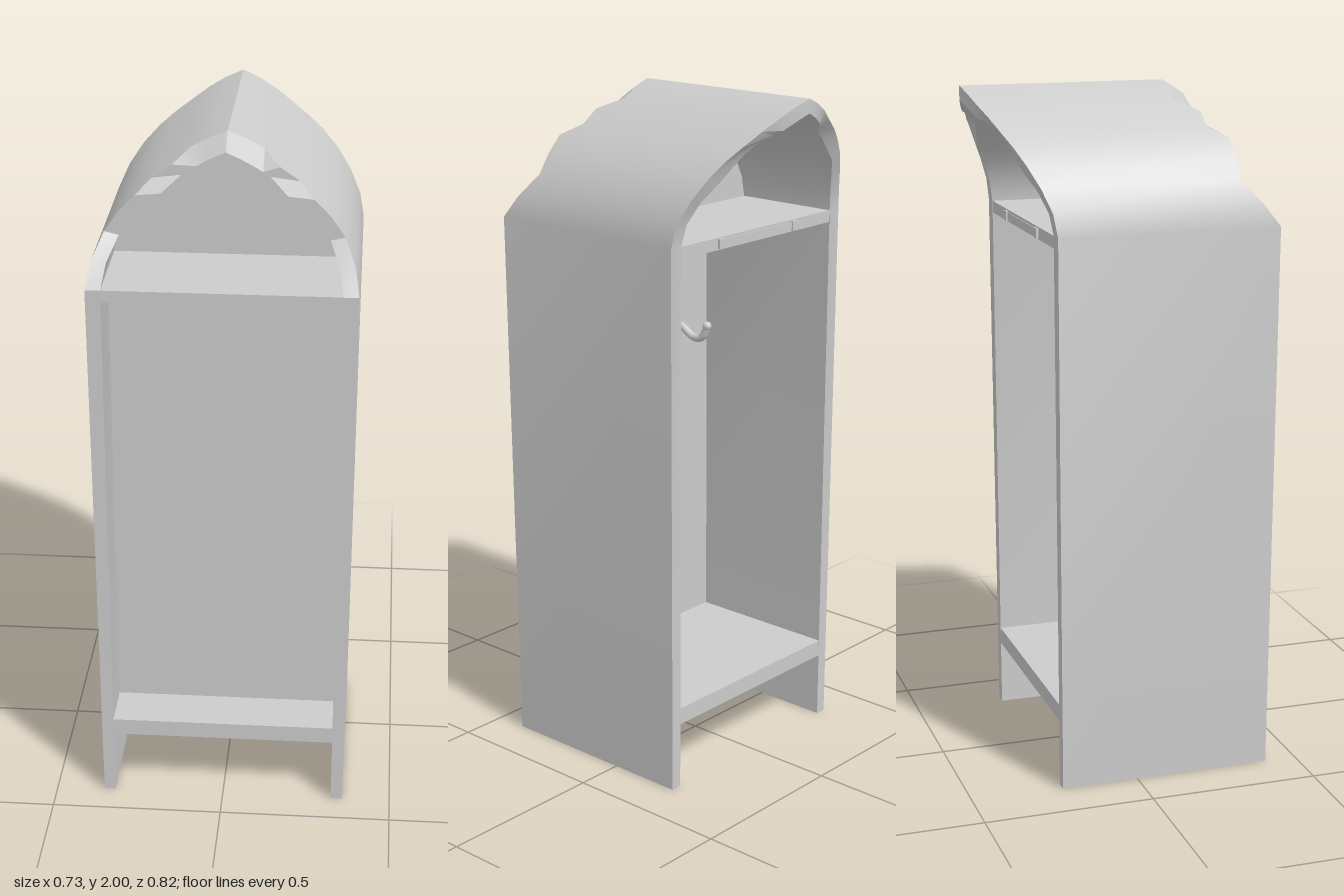
import * as THREE from 'three';
import { toCreasedNormals } from 'three/addons/utils/BufferGeometryUtils.js';

const material = new THREE.MeshStandardMaterial({ color: 0xcccccc });

// Half of the shell, foot to apex: outer x, y, inner x, y, front z outer, front z inner, back z
const HALF = [
  [0.358, 0, 0.325, 0, 0.405, 0.405, -0.228],
  [0.367, 1.62, 0.325, 1.62, 0.412, 0.412, -0.237],
  [0.355, 1.685, 0.314, 1.68, 0.362, 0.362, -0.247],
  [0.325, 1.75, 0.285, 1.74, 0.305, 0.305, -0.272],
  [0.285, 1.807, 0.25, 1.785, 0.305, 0.305, -0.3],
  [0.24, 1.853, 0.17, 1.86, 0.305, 0.305, -0.325],
  [0.2, 1.885, 0.12, 1.895, 0.25, 0.25, -0.345],
  [0.145, 1.923, 0.1, 1.908, 0.25, 0.25, -0.367],
  [0.1, 1.953, 0.08, 1.92, 0.185, 0.25, -0.387],
  [0.05, 1.98, 0.04, 1.942, 0.185, 0.25, -0.402],
  [0, 2, 0, 1.96, 0.185, 0.25, -0.413],
];
const ROWS = [
  ...HALF,
  ...HALF.slice(0, -1).reverse().map(([xo, yo, xi, ...rest]) => [-xo, yo, -xi, ...rest]),
];

function mesh(name, geometry) {
  const m = new THREE.Mesh(geometry, material);
  m.name = name;
  return m;
}

// Box given by its limits on each axis
function slab(name, x0, x1, y0, y1, z0, z1) {
  const m = mesh(name, new THREE.BoxGeometry(x1 - x0, y1 - y0, z1 - z0));
  m.position.set((x0 + x1) / 2, (y0 + y1) / 2, (z0 + z1) / 2);
  return m;
}

// Side walls and pointed roof as one swept band with a stepped front edge
function shellGeometry() {
  const rings = ROWS.map(([xo, yo, xi, yi, fo, fi, b]) => [
    [xo, yo, fo], [xo, yo, b], [xi, yi, b], [xi, yi, fi],
  ]);
  const pos = [];
  const quad = (a, b, c, d) => pos.push(...a, ...b, ...c, ...a, ...c, ...d);
  for (let i = 0; i < rings.length - 1; i++) {
    const a = rings[i], b = rings[i + 1];
    for (let k = 0; k < 4; k++) {
      const n = (k + 1) % 4;
      quad(a[k], a[n], b[n], b[k]);
    }
  }
  quad(...[...rings[0]].reverse());
  quad(...rings[rings.length - 1]);
  const geo = new THREE.BufferGeometry();
  geo.setAttribute('position', new THREE.Float32BufferAttribute(pos, 3));
  return toCreasedNormals(geo, 0.5);
}

// Divider that fills the arch above the upper shelf
function archPanel() {
  const pts = ROWS.slice(1, -1).map((r) => new THREE.Vector2(r[2], r[3]));
  const geo = new THREE.ExtrudeGeometry(new THREE.Shape(pts), { depth: 0.02, bevelEnabled: false });
  geo.translate(0, 0, 0.09);
  return mesh('archPanel', geo);
}

// Coat hook: shield plate with a curved arm reaching to the back
function coatHook(x) {
  const hook = new THREE.Group();
  hook.name = 'coatHook';
  const s = new THREE.Shape();
  s.moveTo(-0.045, 0.035);
  s.quadraticCurveTo(0, 0.055, 0.045, 0.035);
  s.quadraticCurveTo(0.025, -0.01, 0.012, -0.06);
  s.quadraticCurveTo(0, -0.07, -0.012, -0.06);
  s.quadraticCurveTo(-0.025, -0.01, -0.045, 0.035);
  const plate = mesh('hookPlate', new THREE.ExtrudeGeometry(s, {
    depth: 0.012, bevelEnabled: false, curveSegments: 6,
  }));
  plate.position.z = -0.012;
  const path = new THREE.CatmullRomCurve3([
    [0, 0, 0], [0, -0.008, -0.05], [0, -0.035, -0.1], [0, -0.03, -0.135], [0, 0.008, -0.155],
  ].map((p) => new THREE.Vector3(...p)));
  const arm = mesh('hookArm', new THREE.TubeGeometry(path, 20, 0.012, 10));
  const tip = mesh('hookTip', new THREE.SphereGeometry(0.014, 12, 8));
  tip.position.copy(path.getPoint(1));
  hook.add(plate, arm, tip);
  hook.position.set(x, 1.24, 0.24);
  return hook;
}

export function createModel() {
  const model = new THREE.Group();
  model.name = 'lockerCabinet';
  model.add(
    mesh('shell', shellGeometry()),
    slab('lowerShelf', -0.326, 0.326, 0.2, 0.25, -0.229, 0.406),
    slab('upperShelf', -0.326, 0.326, 1.585, 1.62, -0.236, 0.411),
    slab('mainPanel', -0.326, 0.326, 0.25, 1.585, 0.24, 0.26),
    archPanel(),
    slab('labelStrip', -0.16, 0.16, 1.592, 1.612, -0.238, -0.235),
  );
  for (const side of [1, -1]) {
    model.add(coatHook(side * 0.15));
    model.add(slab('labelClip', side * 0.16 - 0.012, side * 0.16 + 0.012, 1.588, 1.616, -0.243, -0.235));
  }
  return model;
}
